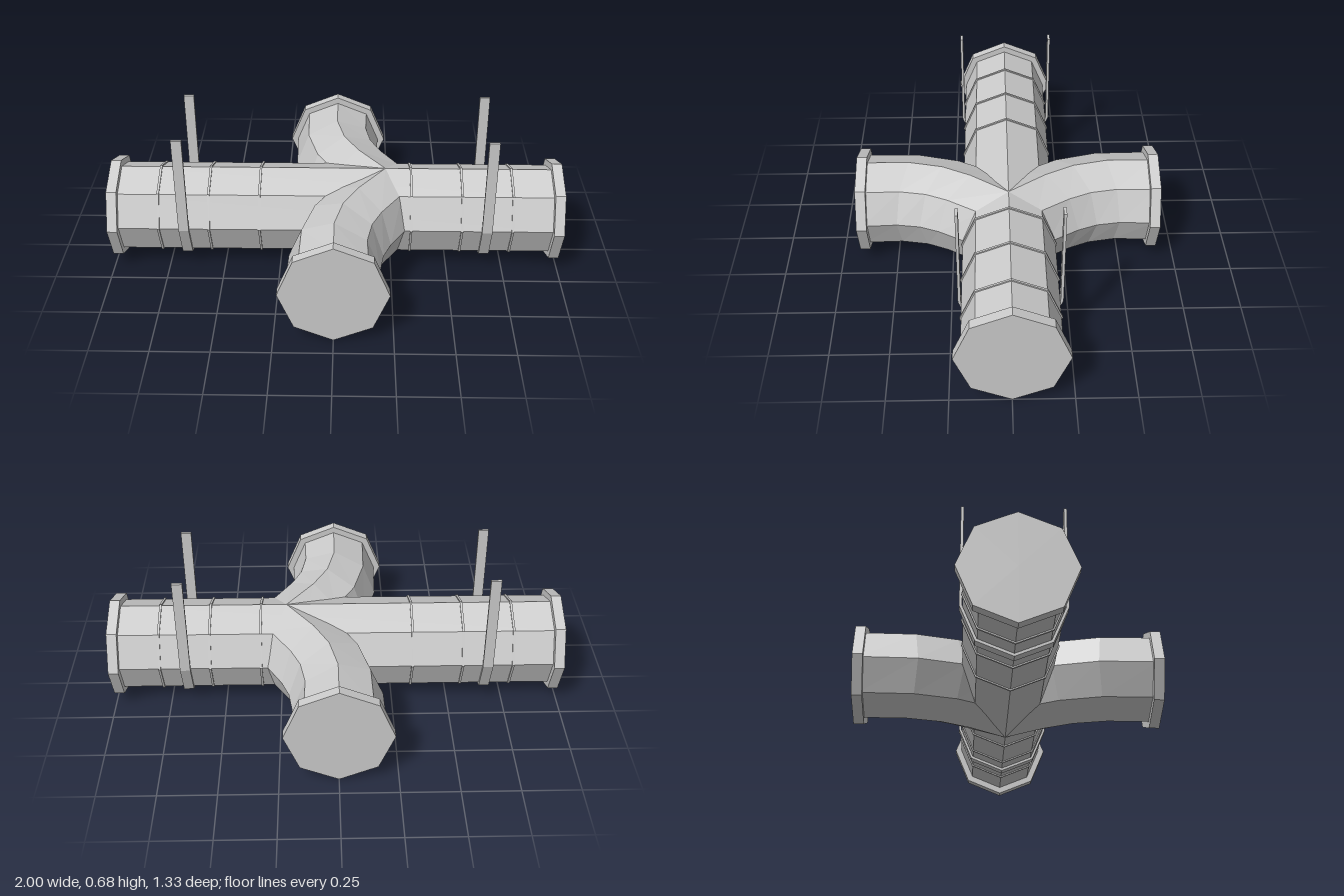
import * as THREE from 'three';

const SIDES = 8, R = 0.2, CENTRE_Y = 0.23;
const material = new THREE.MeshStandardMaterial({ color: 0xcccccc, flatShading: true });

function add(parent, name, geometry) {
  const mesh = new THREE.Mesh(geometry, material);
  mesh.name = name;
  parent.add(mesh);
  return mesh;
}

// Octagonal prism along x, with a corner at the top
function ductX(radius, length, x = 0) {
  return new THREE.CylinderGeometry(radius, radius, length, SIDES)
    .rotateZ(Math.PI / 2).translate(x, 0, 0);
}

// Octagonal tube through sections [x, z, tilt in degrees]
function elbowGeometry(sections) {
  const point = ([x, z, tilt], i) => {
    const a = (i / SIDES) * Math.PI * 2, t = THREE.MathUtils.degToRad(tilt);
    const u = R * Math.cos(a);
    return [x + u * Math.cos(t), R * Math.sin(a), z + u * Math.sin(t)];
  };
  const positions = [];
  for (let k = 0; k < sections.length - 1; k++) {
    for (let i = 0; i < SIDES; i++) {
      const a = point(sections[k], i), b = point(sections[k], i + 1);
      const c = point(sections[k + 1], i + 1), d = point(sections[k + 1], i);
      positions.push(...a, ...d, ...c, ...a, ...c, ...b);
    }
  }
  const geometry = new THREE.BufferGeometry();
  geometry.setAttribute('position', new THREE.Float32BufferAttribute(positions, 3));
  geometry.computeVertexNormals();
  return geometry;
}

// U-shaped strap: two uprights joined by a band under the duct
function strapGeometry(width) {
  const outer = 0.214, inner = 0.202, top = 0.45;
  const half = (r) => [0, 1, 2, 3, 4].map((i) => {
    const a = -i * Math.PI / 4;
    return new THREE.Vector2(r * Math.cos(a), r * Math.sin(a));
  });
  const shape = new THREE.Shape([
    new THREE.Vector2(outer, top), ...half(outer), new THREE.Vector2(-outer, top),
    new THREE.Vector2(-inner, top), ...half(inner).reverse(), new THREE.Vector2(inner, top),
  ]);
  return new THREE.ExtrudeGeometry(shape, { depth: width, bevelEnabled: false })
    .translate(0, 0, -width / 2).rotateY(Math.PI / 2);
}

export function createModel() {
  const model = new THREE.Group();
  model.name = 'ventilationDuct';
  const duct = new THREE.Group();
  duct.name = 'ductwork';
  duct.position.y = CENTRE_Y;
  model.add(duct);

  // Straight main run with end flanges, seams and hangers
  add(duct, 'mainDuct', ductX(R, 1.96));
  for (const side of [-1, 1]) {
    add(duct, 'endFlange', ductX(0.23, 0.045, side * 0.9775));
    for (const x of [0.333, 0.556, 0.778]) add(duct, 'seamRing', ductX(0.206, 0.01, side * x));
    add(duct, 'hangerStrap', strapGeometry(0.045)).position.x = side * 0.665;
  }

  // Two curved branches, front and back
  for (const angle of [0, Math.PI]) {
    const branch = new THREE.Group();
    branch.name = angle ? 'backBranch' : 'frontBranch';
    branch.rotation.x = angle;
    add(branch, 'branchElbow', elbowGeometry([
      [0, 0.64, 0], [0, 0.44, 15], [0.035, 0.29, 30], [0.1, 0.165, 45], [0.22, 0, 60],
    ]));
    add(branch, 'branchFlange', new THREE.CylinderGeometry(0.23, 0.23, 0.045, SIDES)
      .rotateX(Math.PI / 2).translate(0, 0, 0.6445));
    duct.add(branch);
  }
  return model;
}
